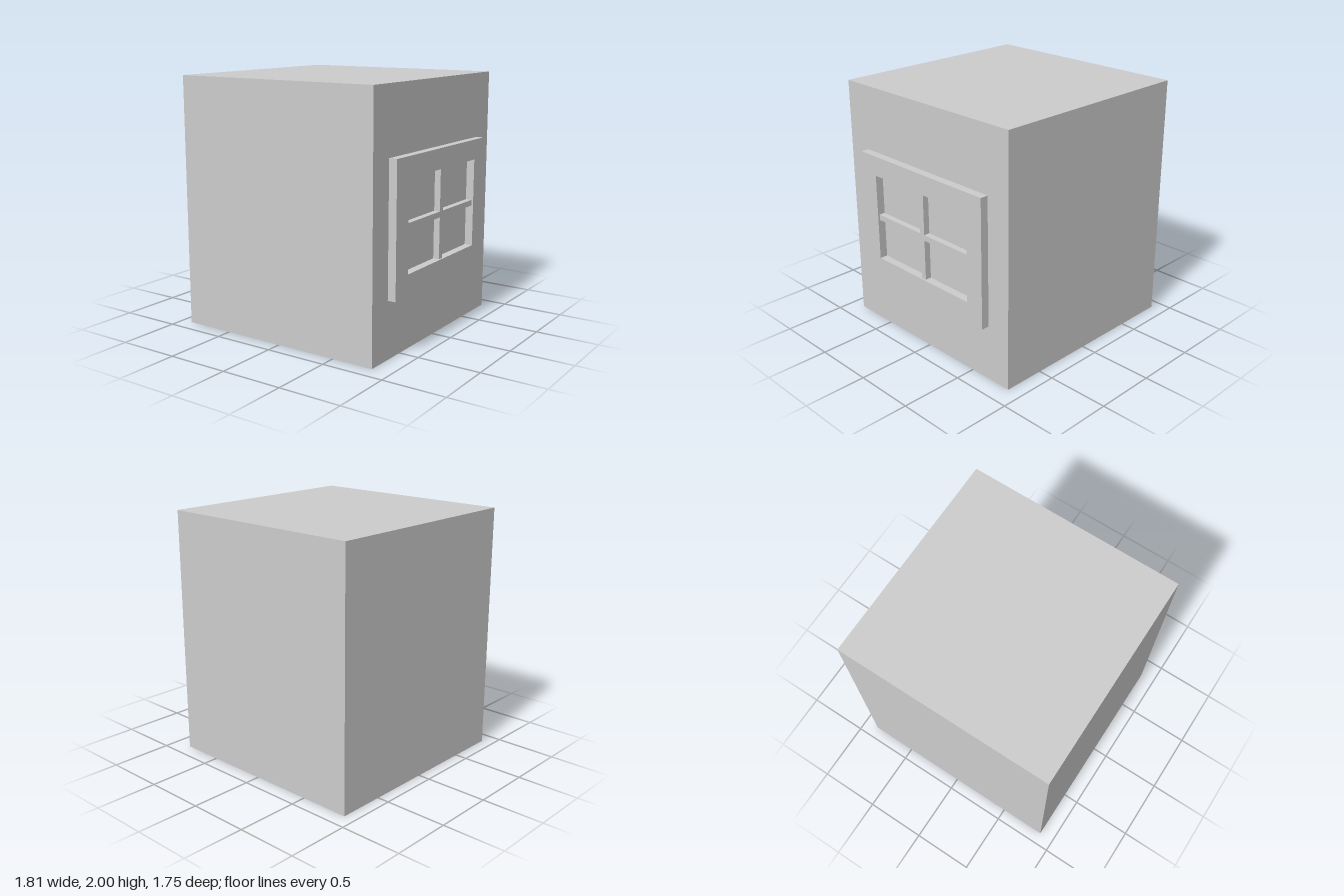
import * as THREE from 'three';

const material = new THREE.MeshStandardMaterial({ color: 0xcccccc, flatShading: true });
const WALL_X = 0.84; // wall plane carrying the window

// Box given by its minimum and maximum corners
function box(name, [x0, y0, z0], [x1, y1, z1]) {
  const mesh = new THREE.Mesh(new THREE.BoxGeometry(x1 - x0, y1 - y0, z1 - z0), material);
  mesh.position.set((x0 + x1) / 2, (y0 + y1) / 2, (z0 + z1) / 2);
  mesh.name = name;
  return mesh;
}

// Rectangle outline for the frame, drawn with its x axis along -z
function rectangle(Type, z0, z1, y0, y1) {
  return new Type([[-z1, y0], [-z0, y0], [-z0, y1], [-z1, y1]].map(([x, y]) => new THREE.Vector2(x, y)));
}

export function createModel() {
  const model = new THREE.Group();
  model.name = 'windowedBlock';

  // Solid building block
  model.add(box('buildingBlock', [-0.905, 0, -0.877], [WALL_X, 2, 0.877]));

  // Window on the left wall
  const windowGroup = new THREE.Group();
  windowGroup.name = 'window';
  model.add(windowGroup);

  // Frame with a rectangular opening
  const outline = rectangle(THREE.Shape, -0.675, 0.672, 0.45, 1.482);
  outline.holes.push(rectangle(THREE.Path, -0.52, 0.505, 0.615, 1.322));
  const frame = new THREE.Mesh(
    new THREE.ExtrudeGeometry(outline, { depth: 0.065, bevelEnabled: false }), material);
  frame.rotation.y = Math.PI / 2;
  frame.position.x = WALL_X;
  frame.name = 'windowFrame';
  windowGroup.add(frame);

  // Crossing glazing bars, set slightly back from the frame face
  const barX = WALL_X + 0.05;
  windowGroup.add(
    box('verticalBar', [WALL_X, 0.615, -0.038], [barX, 1.322, 0.01]),
    box('horizontalBarFront', [WALL_X, 0.944, 0.01], [barX, 0.99, 0.505]),
    box('horizontalBarBack', [WALL_X, 0.944, -0.52], [barX, 0.99, -0.038]),
  );

  return model;
}
